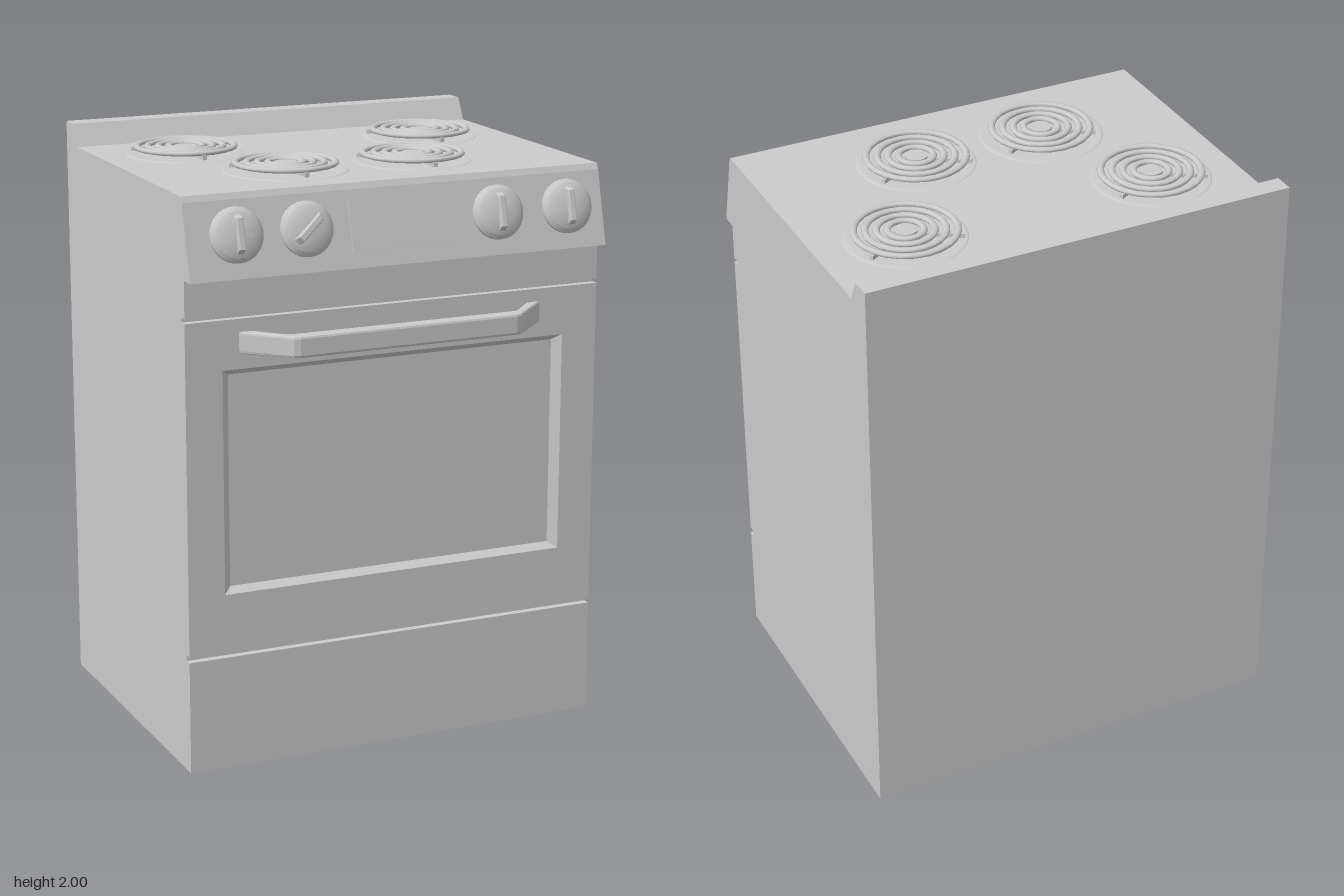
import * as THREE from 'three';
import { toCreasedNormals } from 'three/addons/utils/BufferGeometryUtils.js';

const material = new THREE.MeshStandardMaterial({ color: 0xcccccc });
const W = 0.74; // half width

function add(parent, name, geometry) {
  const mesh = new THREE.Mesh(geometry, material);
  mesh.name = name;
  parent.add(mesh);
  return mesh;
}

function extrude(points, depth, bevel = 0) {
  const shape = new THREE.Shape(points.map(([x, y]) => new THREE.Vector2(x, y)));
  return new THREE.ExtrudeGeometry(shape, {
    depth, bevelEnabled: bevel > 0, bevelSize: bevel, bevelOffset: -bevel, bevelThickness: bevel, bevelSegments: 2,
  });
}

// Skins a row of rectangles [x half width, bottom, top, z] and caps the last one
function rectangleLoft(rects) {
  const corners = ([x, b, t, z]) => [[-x, b, z], [x, b, z], [x, t, z], [-x, t, z]];
  const pos = [];
  const quad = (a, b, c, d) => pos.push(...a, ...b, ...c, ...a, ...c, ...d);
  for (let i = 0; i + 1 < rects.length; i++) {
    const p = corners(rects[i]), q = corners(rects[i + 1]);
    for (let k = 0; k < 4; k++) {
      const n = (k + 1) % 4;
      quad(p[k], p[n], q[n], q[k]);
    }
  }
  quad(...corners(rects[rects.length - 1]));
  const g = new THREE.BufferGeometry();
  g.setAttribute('position', new THREE.Float32BufferAttribute(pos, 3));
  g.computeVertexNormals();
  return g;
}

function makeBurner(x, z, panRadius) {
  const burner = new THREE.Group();
  burner.name = 'burner';
  burner.position.set(x, 1.925, z);

  // shallow drip pan
  const pan = [[panRadius, 0], [panRadius - 0.006, 0.004], [panRadius - 0.02, 0.002], [0, 0.001]]
    .map(([r, y]) => new THREE.Vector2(r, y)).reverse();
  const panMesh = add(burner, 'dripPan', new THREE.LatheGeometry(pan, 40));
  panMesh.geometry.scale(-1, 1, 1);
  const index = panMesh.geometry.index.array;
  for (let i = 0; i < index.length; i += 3) [index[i], index[i + 1]] = [index[i + 1], index[i]];
  orientUp(panMesh.geometry);

  // concentric heating rings
  for (const r of [0.166, 0.129, 0.093, 0.058]) {
    const ring = new THREE.TorusGeometry(r, 0.012, 8, 24);
    ring.rotateX(Math.PI / 2);
    ring.scale(1, 0.7, 1);
    add(burner, 'coilRing', ring).position.y = 0.026;
  }
  add(burner, 'coilHub', new THREE.CylinderGeometry(0.038, 0.038, 0.012, 20)).position.y = 0.022;

  // three radial supports
  for (let i = 0; i < 3; i++) {
    const spoke = new THREE.BoxGeometry(0.014, 0.014, 0.15);
    spoke.translate(0, 0.013, 0.11);
    add(burner, 'coilSupport', spoke).rotation.y = i * Math.PI * 2 / 3;
  }
  return burner;
}

// Makes every triangle of a shallow disc face upwards
function orientUp(g) {
  const p = g.attributes.position, idx = g.index.array;
  const a = new THREE.Vector3(), b = new THREE.Vector3(), c = new THREE.Vector3();
  for (let i = 0; i < idx.length; i += 3) {
    a.fromBufferAttribute(p, idx[i]);
    b.fromBufferAttribute(p, idx[i + 1]).sub(a);
    c.fromBufferAttribute(p, idx[i + 2]).sub(a);
    if (b.cross(c).y < 0) [idx[i], idx[i + 1]] = [idx[i + 1], idx[i]];
  }
  g.computeVertexNormals();
}

function makeKnob(x, turn) {
  const knob = new THREE.Group();
  knob.name = 'knob';
  knob.position.x = x;
  const profile = [[0.078, 0], [0.09, 0.012], [0.09, 0.022], [0.076, 0.035], [0.045, 0.043], [0, 0.046]]
    .map(([r, y]) => new THREE.Vector2(r, y));
  add(knob, 'knobDial', toCreasedNormals(new THREE.LatheGeometry(profile, 32), 0.5));
  const grip = extrude([[-0.072, 0.02], [0.072, 0.02], [0.05, 0.062], [-0.05, 0.062]], 0.016, 0.004);
  grip.translate(0, 0, -0.008);
  grip.rotateY(Math.PI / 2 + turn);
  add(knob, 'knobGrip', grip);
  return knob;
}

export function createModel() {
  const stove = new THREE.Group();
  stove.name = 'stove';

  // cabinet side profile as [z, y], with seams, control panel and backguard
  const body = extrude([
    [-0.63, 0], [0.49, 0], [0.49, 0.385], [0.465, 0.385], [0.465, 0.405], [0.455, 0.405],
    [0.455, 1.52], [0.465, 1.52], [0.465, 1.535], [0.49, 1.535], [0.49, 1.66], [0.545, 1.66],
    [0.482, 1.905], [0.472, 1.925], [-0.52, 1.925], [-0.56, 2], [-0.63, 2],
  ], 2 * W);
  body.rotateY(-Math.PI / 2);
  body.translate(W, 0, 0);
  add(stove, 'cabinet', body);

  // oven door with bevelled window recess
  add(stove, 'ovenDoor', rectangleLoft([
    [W, 0.405, 1.52, 0.455], [W, 0.405, 1.52, 0.49],
    [0.613, 0.602, 1.355, 0.49], [0.585, 0.622, 1.335, 0.465],
  ]));

  // bent bar handle, outlined from above as [x, z]
  const half = [[0.545, 0.485], [0.405, 0.622], [0.385, 0.628]];
  const inner = [[0.39, 0.577], [0.41, 0.572], [0.49, 0.485]];
  const right = [...half, ...inner.slice().reverse()];
  const outline = [
    ...half, ...half.slice().reverse().map(([x, z]) => [-x, z]),
    ...right.slice(3, 6).map(([x, z]) => [-x, z]), ...inner,
  ];
  const handle = extrude(outline, 0.054, 0.009);
  handle.rotateX(Math.PI / 2);
  handle.translate(-0.015, 1.468, 0);
  add(stove, 'doorHandle', handle);

  // sloped control panel fittings
  const controls = new THREE.Group();
  controls.name = 'controls';
  controls.position.set(0, 1.795, 0.51);
  controls.rotation.x = Math.PI / 2 - Math.atan2(0.063, 0.245);
  stove.add(controls);
  for (const [x, turn] of [[-0.575, 0], [-0.335, -0.85], [0.345, 0], [0.6, 0]]) controls.add(makeKnob(x, turn));
  add(controls, 'displayPanel', new THREE.BoxGeometry(0.355, 0.012, 0.17));

  // cooktop
  for (const [x, z, r] of [[-0.445, -0.255, 0.2], [0.435, -0.255, 0.2], [-0.26, 0.175, 0.21], [0.2, 0.175, 0.2]]) {
    stove.add(makeBurner(x, z, r));
  }
  return stove;
}
